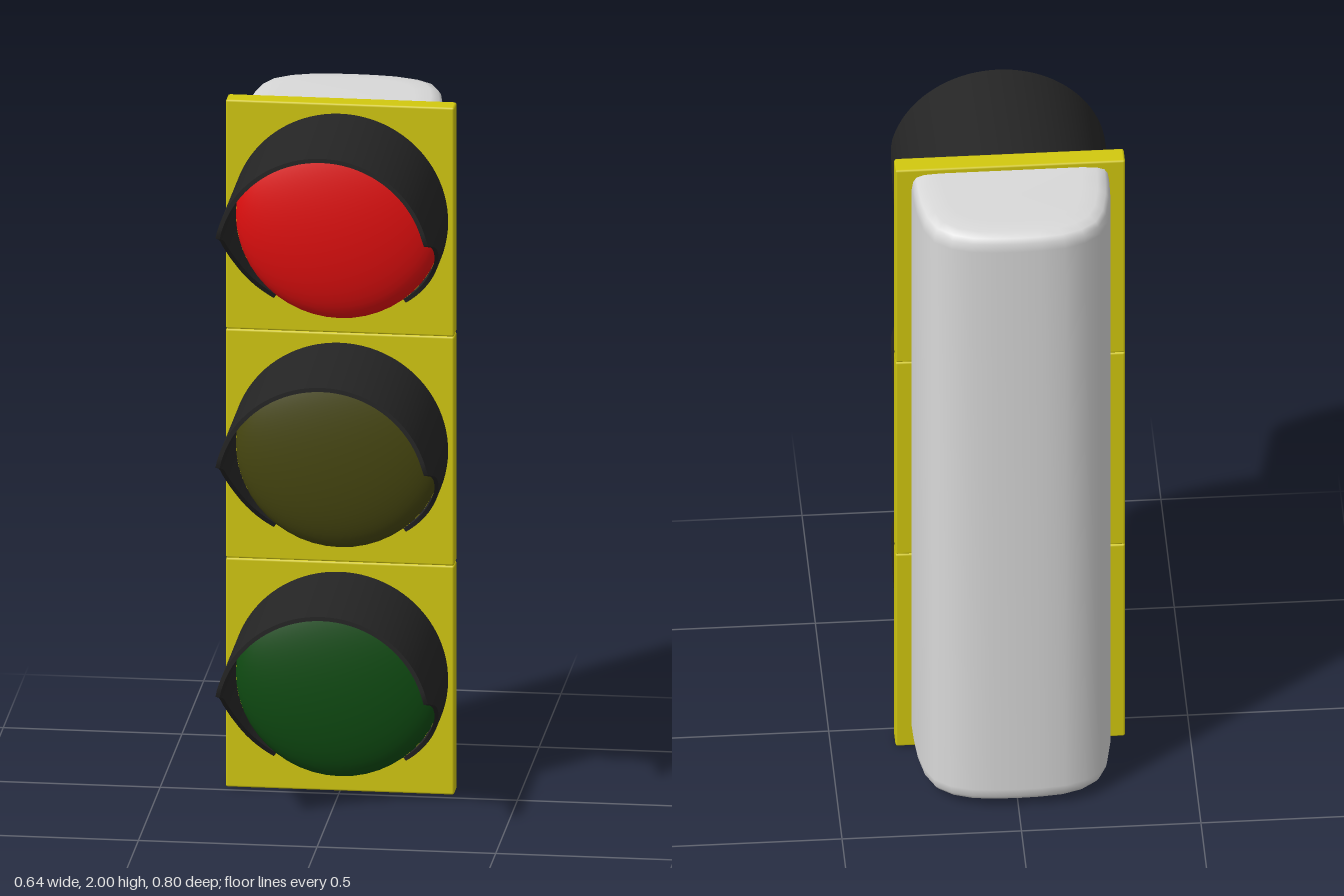
import * as THREE from 'three';
import { toCreasedNormals } from 'three/addons/utils/BufferGeometryUtils.js';
import { RoundedBoxGeometry } from 'three/addons/geometries/RoundedBoxGeometry.js';

const mat = (name, color) => {
  const m = new THREE.MeshStandardMaterial({ color });
  m.name = name;
  return m;
};

function surface(points, index) {
  const g = new THREE.BufferGeometry();
  g.setAttribute('position', new THREE.Float32BufferAttribute(points, 3));
  g.setIndex(index);
  g.computeVertexNormals();
  return g;
}

// How far forward the hood reaches at a height d above the lamp centre
const CUT = [[-0.24, -0.024], [-0.17, 0.03], [-0.115, 0.075], [-0.06, 0.14],
  [0.007, 0.245], [0.035, 0.325], [0.06, 0.4]];
function hoodReach(d) {
  if (d <= CUT[0][0]) return CUT[0][1];
  for (let i = 1; i < CUT.length; i++) {
    const [d0, z0] = CUT[i - 1], [d1, z1] = CUT[i];
    if (d <= d1) return THREE.MathUtils.mapLinear(d, d0, d1, z0, z1);
  }
  return 0.4;
}

// Curved shell over the lamp, swept by angle from one lower end to the other
function visorGeometry() {
  const outer = 0.303, inner = 0.291, back = -0.03, n = 72;
  const start = Math.asin(-0.24 / outer), span = Math.PI - 2 * start;
  const points = [], index = [];
  for (let i = 0; i <= n; i++) {
    const a = start + span * i / n, c = Math.cos(a), s = Math.sin(a);
    const front = hoodReach(outer * s);
    for (const [r, z] of [[outer, back], [outer, front], [inner, front], [inner, back]])
      points.push(r * c, r * s, z);
    if (i === n) break;
    for (let j = 0; j < 4; j++) {
      const p = i * 4 + j, q = i * 4 + (j + 1) % 4;
      index.push(p, p + 4, q, q, p + 4, q + 4);
    }
  }
  return toCreasedNormals(surface(points, index), 0.6);
}

// Rounded back shell: one U-shaped section stacked in y and drawn in at both ends
function housingGeometry() {
  const front = -0.08, low = 0.018, high = 1.985;
  const half = [[0.275, front], [0.274, -0.14], [0.27, -0.2], [0.256, -0.28],
    [0.231, -0.335], [0.187, -0.37], [0.13, -0.39], [0.065, -0.397]];
  const section = [...half, [0, -0.399], ...half.map(([x, z]) => [-x, z]).reverse()];
  const ends = [[0.08, 0], [0.035, 0.003], [0.013, 0.011], [0.004, 0.025], [0, 0.05]];
  const rings = [...ends.map(([inset, h]) => [inset, low + h]),
    ...ends.map(([inset, h]) => [inset, high - h]).reverse()];
  const n = section.length, points = [], index = [];
  rings.forEach(([inset, y], k) => {
    for (const [x, z] of section)
      points.push(x * (1 - inset / 0.275), y, front + (z - front) * (1 - inset / 0.319));
    if (k === rings.length - 1) return;
    for (let i = 0; i < n - 1; i++) {
      const p = k * n + i;
      index.push(p, p + 1, p + n, p + 1, p + n + 1, p + n);
    }
  });
  // end caps
  const bottom = points.length / 3, top = bottom + 1, last = (rings.length - 1) * n;
  points.push(0, low, -0.2, 0, high, -0.2);
  for (let i = 0; i < n; i++) {
    const j = (i + 1) % n;
    index.push(bottom, j, i, top, last + i, last + j);
  }
  return surface(points, index);
}

export function createModel() {
  const group = new THREE.Group();
  const yellow = mat('yellow paint', 0xd2c80f);
  const black = mat('black hood', 0x252525);
  const grey = mat('light grey shell', 0xd9d9d9);
  const lamps = [
    ['green', mat('green lens', 0x0f4c12)],
    ['amber', mat('dark amber lens', 0x474710)],
    ['red', mat('red lens', 0xe30f0f)],
  ];

  const add = (name, geometry, material, y = 0, z = 0) => {
    const mesh = new THREE.Mesh(geometry, material);
    mesh.name = name;
    mesh.position.set(0, y, z);
    group.add(mesh);
  };

  const plate = new RoundedBoxGeometry(0.64, 2 / 3, 0.06, 1, 0.006);
  const visor = visorGeometry();
  // shallow domed lens
  const lens = new THREE.SphereGeometry(0.291, 48, 14, 0, Math.PI * 2, 0, Math.PI / 2);
  lens.rotateX(Math.PI / 2).scale(1, 1, 0.08 / 0.291);

  add('housing', housingGeometry(), grey);
  lamps.forEach(([name, material], i) => {
    const y = (i + 0.5) * 2 / 3;
    add(name + 'Plate', plate, yellow, y, -0.055);
    add(name + 'Lens', lens, material, y + 0.002, -0.025);
    add(name + 'Visor', visor, black, y + 0.002);
  });
  return group;
}
